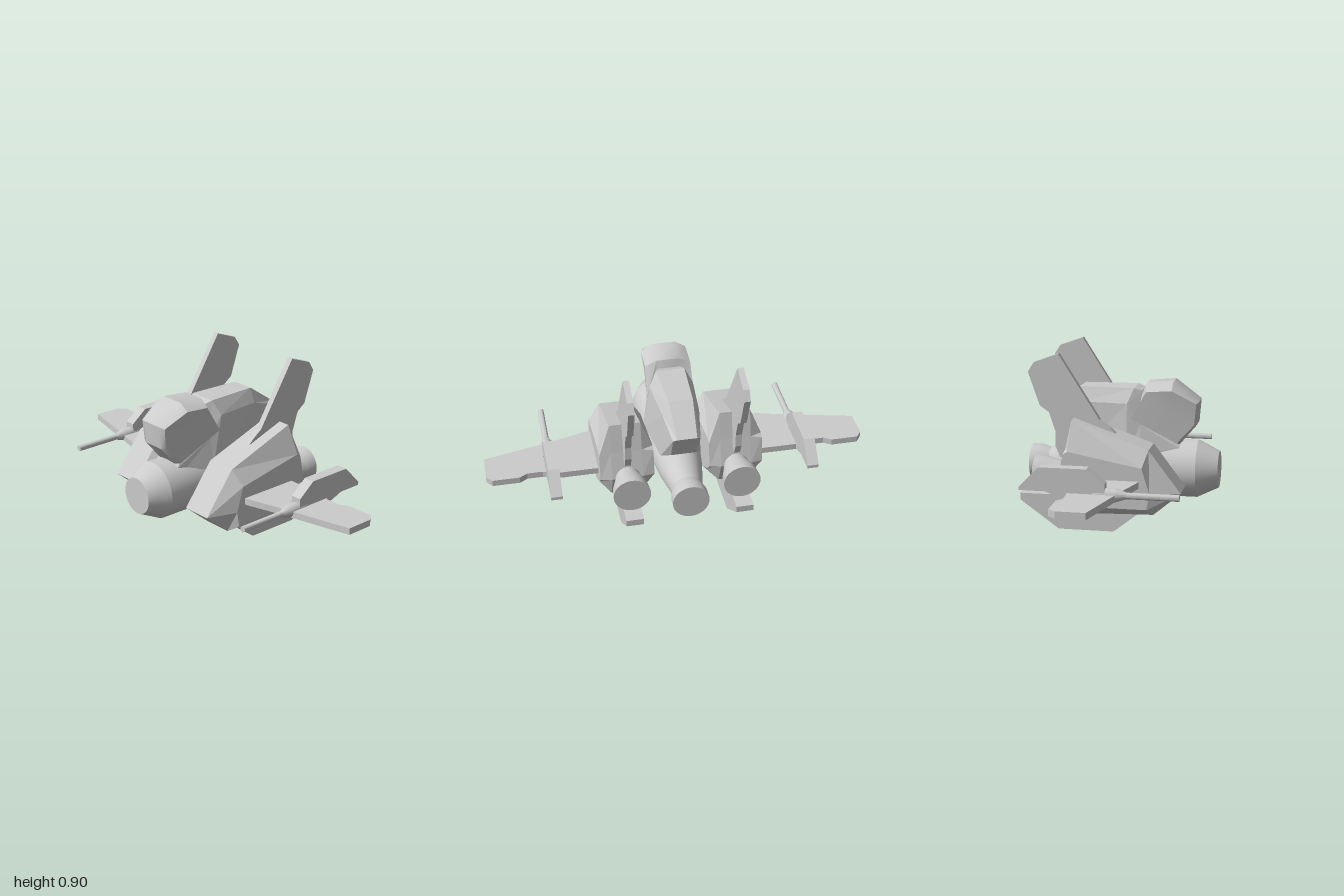
import * as THREE from 'three';
import { toCreasedNormals } from 'three/addons/utils/BufferGeometryUtils.js';

const mat = new THREE.MeshStandardMaterial({ color: 0xcccccc });

function add(group, name, geometry, x = 0, y = 0) {
  const mesh = new THREE.Mesh(geometry, mat);
  mesh.name = name;
  mesh.position.set(x, y, 0);
  group.add(mesh);
}

// Closed skin over a list of rings of [x, y, z] points
function loft(rings, crease = 0.01) {
  const pos = [];
  const n = rings[0].length;
  const tri = (a, b, c) => pos.push(...a, ...b, ...c);
  for (let r = 0; r < rings.length - 1; r++) {
    for (let i = 0; i < n; i++) {
      const j = (i + 1) % n, p = rings[r], q = rings[r + 1];
      tri(p[i], p[j], q[j]);
      tri(p[i], q[j], q[i]);
    }
  }
  const cap = (ring, flip) => {
    const c = [0, 1, 2].map(k => ring.reduce((s, p) => s + p[k], 0) / n);
    for (let i = 0; i < n; i++) {
      const a = ring[i], b = ring[(i + 1) % n];
      flip ? tri(c, b, a) : tri(c, a, b);
    }
  };
  cap(rings[0], true);
  cap(rings[rings.length - 1], false);
  // Turn the skin outward when its signed volume is negative
  const v = k => new THREE.Vector3().fromArray(pos, k);
  let volume = 0;
  for (let k = 0; k < pos.length; k += 9) volume += v(k).dot(v(k + 3).cross(v(k + 6)));
  if (volume < 0) {
    for (let k = 0; k < pos.length; k += 9) {
      for (let m = 0; m < 3; m++) [pos[k + 3 + m], pos[k + 6 + m]] = [pos[k + 6 + m], pos[k + 3 + m]];
    }
  }
  const g = new THREE.BufferGeometry();
  g.setAttribute('position', new THREE.Float32BufferAttribute(pos, 3));
  return toCreasedNormals(g, crease);
}

// Flat plate from a 2D outline, centred on its thickness
function plate(points, depth) {
  const shape = new THREE.Shape(points.map(p => new THREE.Vector2(...p)));
  return new THREE.ExtrudeGeometry(shape, { depth, bevelEnabled: false }).translate(0, 0, -depth / 2);
}
const uprightPlate = (zy, depth) => plate(zy, depth).rotateY(-Math.PI / 2);

// Body of revolution along z from [radius, z] points, rear to front
function turned(profile, segments = 36) {
  const g = new THREE.LatheGeometry(profile.map(p => new THREE.Vector2(...p)), segments);
  return toCreasedNormals(g.rotateX(Math.PI / 2), 0.4);
}

export function createModel() {
  const model = new THREE.Group();

  // Round fuselage with rear nozzle
  add(model, 'fuselage', turned([
    [0, -0.5], [0.094, -0.5], [0.093, -0.45], [0.08, -0.4], [0.115, -0.22],
    [0.142, 0], [0.15, 0.2], [0.15, 0.39], [0.096, 0.5], [0, 0.5],
  ], 48), 0, 0.267);

  // Canopy: [z, y, half width] outlines, inner panel then inset sides
  const middle = [
    [0.395, 0.63, 0.06], [0.262, 0.73, 0.065], [0.12, 0.718, 0.06],
    [0.06, 0.545, 0.07], [0.3, 0.408, 0.06], [0.385, 0.51, 0.06],
  ];
  const side = [
    [0.385, 0.625, 0.09], [0.262, 0.695, 0.12], [0.13, 0.685, 0.12],
    [0.05, 0.545, 0.125], [0.285, 0.415, 0.09], [0.375, 0.515, 0.085],
  ];
  const outline = (list, s) => list.map(([z, y, w]) => [s * w, y, z]);
  add(model, 'canopy', loft([
    outline(side, -1), outline(middle, -1), outline(middle, 1), outline(side, 1),
  ], 0.6));

  // Dorsal spine: [half width, y, z] for bottom, shoulder and top of each section
  const spine = [
    [[0.09, 0.34, 0.3], [0.085, 0.39, 0.3], [0.05, 0.41, 0.3]],
    [[0.135, 0.36, 0.1], [0.11, 0.51, 0.1], [0.06, 0.68, 0.1]],
    [[0.14, 0.36, 0.03], [0.115, 0.62, 0.03], [0.075, 0.695, 0.06]],
    [[0.105, 0.36, -0.22], [0.095, 0.62, -0.22], [0.062, 0.695, -0.22]],
    [[0.065, 0.42, -0.3], [0.07, 0.565, -0.375], [0.05, 0.58, -0.39]],
  ].map(([b, m, t]) => [
    ...[b, m, t], ...[t, m, b].map(([w, y, z]) => [-w, y, z]),
  ]);
  add(model, 'dorsalSpine', loft(spine));

  // Side pod outlines in [z, y]
  const podMiddle = [
    [0.348, 0.225], [0.185, 0.44], [-0.205, 0.578], [-0.238, 0.43],
    [-0.275, 0.285], [-0.215, 0.15], [-0.1, 0.102], [0.21, 0.11],
  ];
  const podSide = [
    [0.2, 0.23], [0.16, 0.36], [-0.215, 0.43], [-0.238, 0.415],
    [-0.265, 0.285], [-0.2, 0.225], [-0.08, 0.15], [0.185, 0.15],
  ];
  const podRing = (list, x) => list.map(([z, y]) => [x, y, z]);

  for (const s of [1, -1]) {
    const half = new THREE.Group();
    half.name = s > 0 ? 'leftSide' : 'rightSide';
    model.add(half);
    const podX = s * 0.285, gunX = s * 0.663;

    add(half, 'enginePod', loft([
      podRing(podSide, -0.14), podRing(podMiddle, -0.08),
      podRing(podMiddle, 0.08), podRing(podSide, 0.14),
    ]), podX);

    add(half, 'engineNozzle', turned([
      [0, -0.41], [0.096, -0.41], [0.09, -0.35], [0.066, -0.28], [0.066, -0.18], [0, -0.18],
    ]), podX, 0.279);

    add(half, 'tailFin', uprightPlate([
      [-0.285, 0.9], [-0.41, 0.855], [-0.442, 0.805], [-0.383, 0.635], [-0.335, 0.6],
      [-0.302, 0.5], [-0.305, 0.43], [-0.28, 0.37], [-0.15, 0.37], [0.02, 0.49],
      [-0.02, 0.53], [-0.075, 0.57],
    ], 0.032), podX);

    add(half, 'lowerFin', uprightPlate([
      [0.14, 0.11], [0, 0], [-0.285, 0], [-0.485, 0.145], [-0.485, 0.18], [-0.15, 0.18],
    ], 0.09), podX);

    add(half, 'wing', plate([
      [0.38, 0.155], [0.46, 0.14], [0.6, 0.1], [1, 0.005], [1, -0.14], [0.97, -0.177],
      [0.83, -0.177], [0.79, -0.152], [0.71, -0.152], [0.65, -0.177], [0.38, -0.177],
    ].map(([x, z]) => [s * x, z]), 0.034).rotateX(Math.PI / 2), 0, 0.277);

    add(half, 'winglet', uprightPlate([
      [0.028, 0.29], [0.028, 0.345], [-0.06, 0.415], [-0.295, 0.415],
      [-0.392, 0.315], [-0.392, 0.298], [-0.265, 0.298], [-0.17, 0.262], [0, 0.262],
    ], 0.058), gunX);

    add(half, 'wingCannon', turned([
      [0, -0.03], [0.033, -0.03], [0.033, 0.08], [0.016, 0.13], [0.016, 0.383], [0, 0.383],
    ], 16), gunX, 0.287);
  }

  return model;
}
